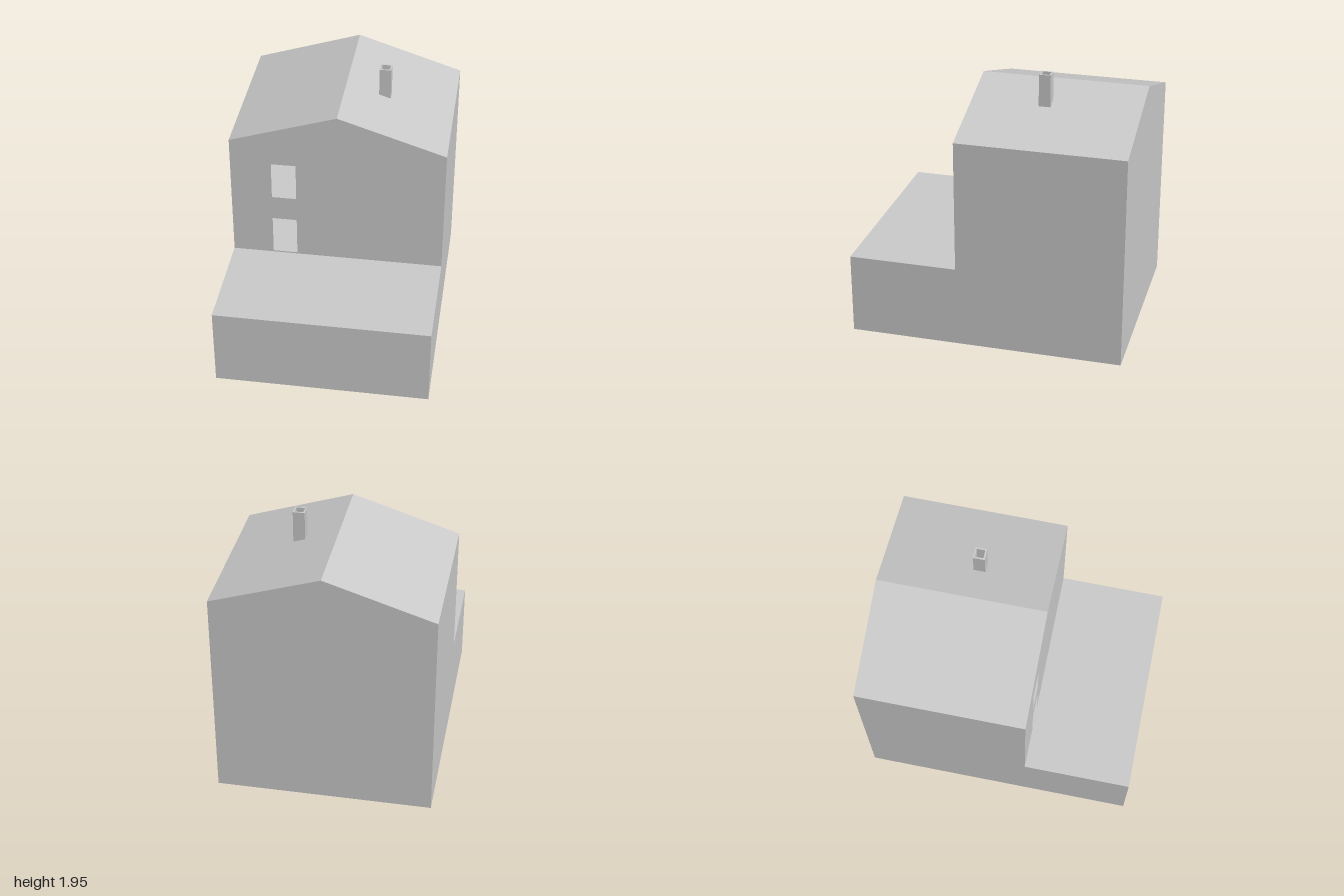
import * as THREE from 'three';

const HALF = 0.78, FRONT = 1, BACK = -1, STEP = 0.21;
const ANNEX = 0.6, EAVE = 1.57, RIDGE = 1.82;
const roofY = (x) => RIDGE - (RIDGE - EAVE) * Math.abs(x) / HALF;

const material = new THREE.MeshStandardMaterial({ color: 0xcccccc, side: THREE.DoubleSide, flatShading: true });

const polygon = (points) => new THREE.Shape(points.map(([a, b]) => new THREE.Vector2(a, b)));
const rectangle = (x0, x1, y0, y1) => polygon([[x0, y0], [x1, y0], [x1, y1], [x0, y1]]);

// Horizontal sheet between two x and two z limits
const sheet = (x0, x1, z0, z1, y) => new THREE.PlaneGeometry(x1 - x0, z1 - z0)
  .rotateX(-Math.PI / 2).translate((x0 + x1) / 2, y, (z0 + z1) / 2);

// Moves the vertices accepted by the test onto the roof surface
function fitToRoof(geometry, test = () => true) {
  const p = geometry.attributes.position;
  for (let i = 0; i < p.count; i++) {
    if (test(p.getY(i))) p.setY(i, roofY(p.getX(i)));
  }
  geometry.computeVertexNormals();
  return geometry;
}

export function createModel() {
  const group = new THREE.Group();
  const add = (name, geometry) => {
    const mesh = new THREE.Mesh(geometry, material);
    mesh.name = name;
    group.add(mesh);
  };

  // Gabled walls, the front one with two window openings
  const gable = (bottom) => polygon([[-HALF, bottom], [HALF, bottom], [HALF, EAVE], [0, RIDGE], [-HALF, EAVE]]);
  const front = gable(ANNEX);
  for (const [low, high] of [[0.61, 0.91], [1.1, 1.39]]) {
    front.holes.push(rectangle(-0.48, -0.3, low, high));
  }
  add('frontGableWall', new THREE.ShapeGeometry(front).translate(0, 0, STEP));
  add('backGableWall', new THREE.ShapeGeometry(gable(0)).rotateY(Math.PI).translate(0, 0, BACK));

  // Stepped side walls and the two roof slopes
  const side = polygon([[BACK, 0], [FRONT, 0], [FRONT, ANNEX], [STEP, ANNEX], [STEP, EAVE], [BACK, EAVE]]);
  for (const [s, label] of [[1, 'left'], [-1, 'right']]) {
    add(label + 'SideWall', new THREE.ShapeGeometry(side).rotateY(-Math.PI / 2).translate(s * HALF, 0, 0));
    add(label + 'RoofSlope', fitToRoof(sheet(Math.min(0, s * HALF), Math.max(0, s * HALF), BACK, STEP, 0)));
  }

  // Low front annex
  add('annexFrontWall', new THREE.ShapeGeometry(rectangle(-HALF, HALF, 0, ANNEX)).translate(0, 0, FRONT));
  add('annexRoof', sheet(-HALF, HALF, STEP, FRONT, ANNEX));

  // Inner floors behind the windows, and the partition beside them
  add('middleFloor', sheet(-HALF, 0, BACK, STEP, 0.61));
  add('upperFloor', sheet(-HALF, 0, BACK, STEP, 1.1));
  const partition = rectangle(BACK, STEP, 0.61, RIDGE);
  add('partitionWall', new THREE.ShapeGeometry(partition).rotateY(-Math.PI / 2));

  // Hollow chimney, its foot cut to the roof slope
  const flue = rectangle(-0.042, 0.042, -0.042, 0.042);
  flue.holes.push(rectangle(-0.03, 0.03, -0.03, 0.03));
  const chimney = new THREE.ExtrudeGeometry(flue, { depth: 0.35, bevelEnabled: false })
    .rotateX(-Math.PI / 2).translate(0.28, 1.6, -0.32);
  add('chimney', fitToRoof(chimney, (y) => y < 1.7));

  return group;
}
